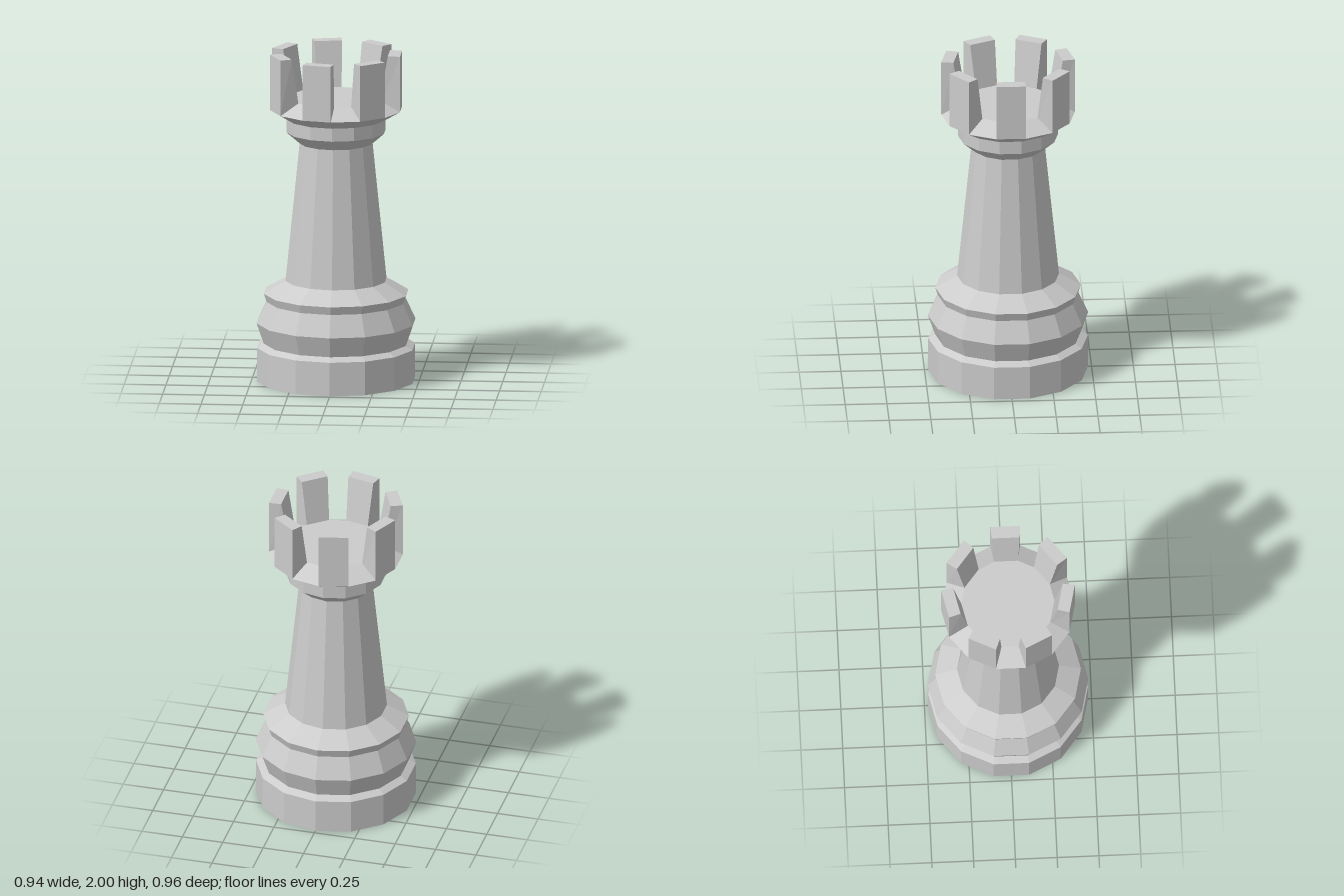
import * as THREE from 'three';

const SIDES = 14;

// Sloped battlement block: a box whose corners taper inwards towards the centre
function merlonGeometry() {
  const geo = new THREE.BoxGeometry(1, 1, 1).toNonIndexed();
  const p = geo.attributes.position;
  const half = Math.PI / SIDES;
  for (let i = 0; i < p.count; i++) {
    const top = p.getY(i) > 0;
    const outer = p.getZ(i) > 0;
    const width = outer ? 0.4 * Math.sin(half) : top ? 0.084 : 0.07;
    const depth = outer ? 0.4 * Math.cos(half) : top ? 0.317 : 0.258;
    p.setXYZ(i, Math.sign(p.getX(i)) * width, top ? 2 : 1.66, depth);
  }
  geo.computeVertexNormals();
  return geo;
}

export function createModel() {
  const model = new THREE.Group();
  model.name = 'chessRook';
  const material = new THREE.MeshStandardMaterial({ color: 0xcccccc, flatShading: true });

  // Turned body: [radius, height] from the foot up to the battlement floor
  const profile = [
    [0, 0], [0.478, 0], [0.478, 0.205], // foot
    [0.437, 0.23], [0.48, 0.355], [0.42, 0.485], // swollen ring
    [0.436, 0.535], [0.305, 0.61], // collar
    [0.22, 1.45], // tapered shaft
    [0.3, 1.52], [0.3, 1.6], [0.4, 1.66], // flared head
    [0.28, 1.725], [0, 1.725], // battlement floor
  ].map(([r, y]) => new THREE.Vector2(r, y));
  const body = new THREE.Mesh(new THREE.LatheGeometry(profile, SIDES), material);
  body.name = 'body';
  model.add(body);

  // Seven battlements, one on every other side
  const battlements = new THREE.Group();
  battlements.name = 'battlements';
  const geo = merlonGeometry();
  for (let i = 0; i < SIDES / 2; i++) {
    const merlon = new THREE.Mesh(geo, material);
    merlon.name = `merlon${i + 1}`;
    merlon.rotation.y = Math.PI / 2 + (i * Math.PI * 4) / SIDES;
    battlements.add(merlon);
  }
  model.add(battlements);
  return model;
}
